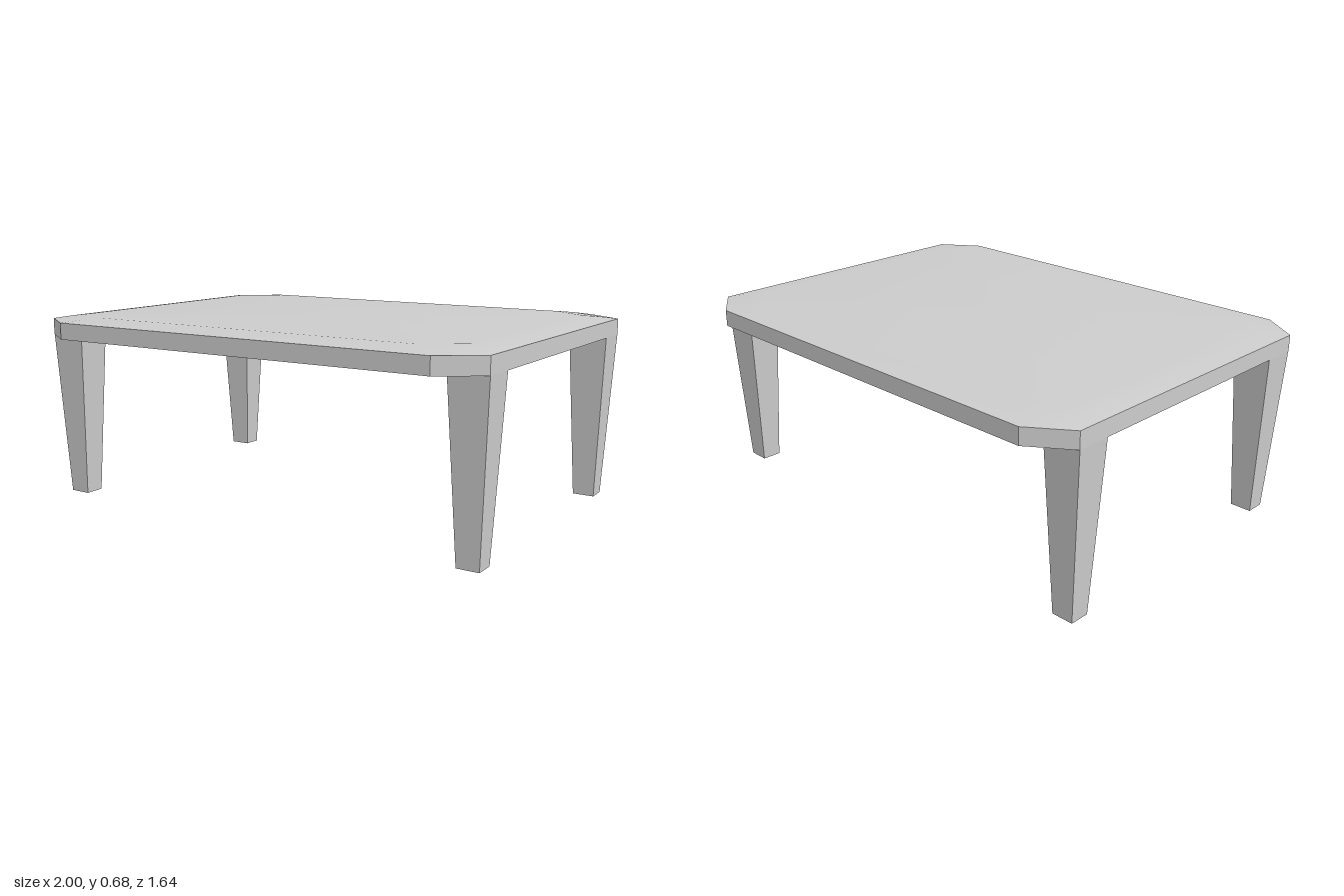
import * as THREE from 'three';
import { toCreasedNormals } from 'three/addons/utils/BufferGeometryUtils.js';

const HALF_X = 0.891, HALF_Z = 0.663;   // table half sizes
const CUT_X = 0.142, CUT_Z = 0.1;       // clipped corners
const UNDER = 0.607, RIM = 0.667, TOP = 0.682;

// Clipped rectangle, running anticlockwise seen from above
function outline(inset) {
  const x = HALF_X - inset, z = HALF_Z - inset;
  const cx = x - CUT_X, cz = z - CUT_Z;
  return [[x, cz], [x, -cz], [cx, -z], [-cx, -z], [-x, -cz], [-x, cz], [-cx, z], [cx, z]];
}

// Closed slab: stacked outlines joined by side faces, capped by fans
function slabGeometry(levels) {
  const pos = [], index = [], n = 8;
  for (const [inset, y] of levels) for (const [x, z] of outline(inset)) pos.push(x, y, z);
  const bottom = pos.length / 3, top = bottom + 1, last = (levels.length - 1) * n;
  pos.push(0, levels[0][1], 0, 0, levels[levels.length - 1][1], 0);
  for (let i = 0; i < n; i++) {
    const j = (i + 1) % n;
    for (let r = 0; r < last; r += n) index.push(r + i, r + j, r + n + j, r + i, r + n + j, r + n + i);
    index.push(bottom, j, i, top, last + i, last + j);
  }
  const geo = new THREE.BufferGeometry();
  geo.setAttribute('position', new THREE.Float32BufferAttribute(pos, 3));
  geo.setIndex(index);
  return toCreasedNormals(geo, 0.5);
}

// Box narrowing towards the foot
function legGeometry() {
  const geo = new THREE.BoxGeometry(0.14, UNDER, 0.124);
  geo.translate(0, UNDER / 2, 0);
  const p = geo.attributes.position;
  for (let i = 0; i < p.count; i++) {
    if (p.getY(i) < 0.01) p.setXYZ(i, p.getX(i) * 0.57, 0, p.getZ(i) * 0.58);
  }
  geo.computeVertexNormals();
  return geo;
}

export function createModel() {
  const material = new THREE.MeshStandardMaterial({ color: 0xcccccc });
  const table = new THREE.Group();
  table.name = 'table';

  // Top with a slightly crowned surface
  const top = new THREE.Mesh(slabGeometry([[0, UNDER], [0, RIM], [0.05, 0.676], [0.1, TOP]]), material);
  top.name = 'tableTop';
  table.add(top);

  // Four tapered legs, flush with the short ends
  const legGeo = legGeometry();
  for (const sx of [-1, 1]) for (const sz of [-1, 1]) {
    const leg = new THREE.Mesh(legGeo, material);
    leg.name = (sz > 0 ? 'front' : 'back') + (sx > 0 ? 'Left' : 'Right') + 'Leg';
    leg.position.set(sx * 0.821, 0, sz * 0.5);
    table.add(leg);
  }

  // The table stands turned on the floor
  table.rotation.y = 0.2395;
  const model = new THREE.Group();
  model.add(table);
  return model;
}
